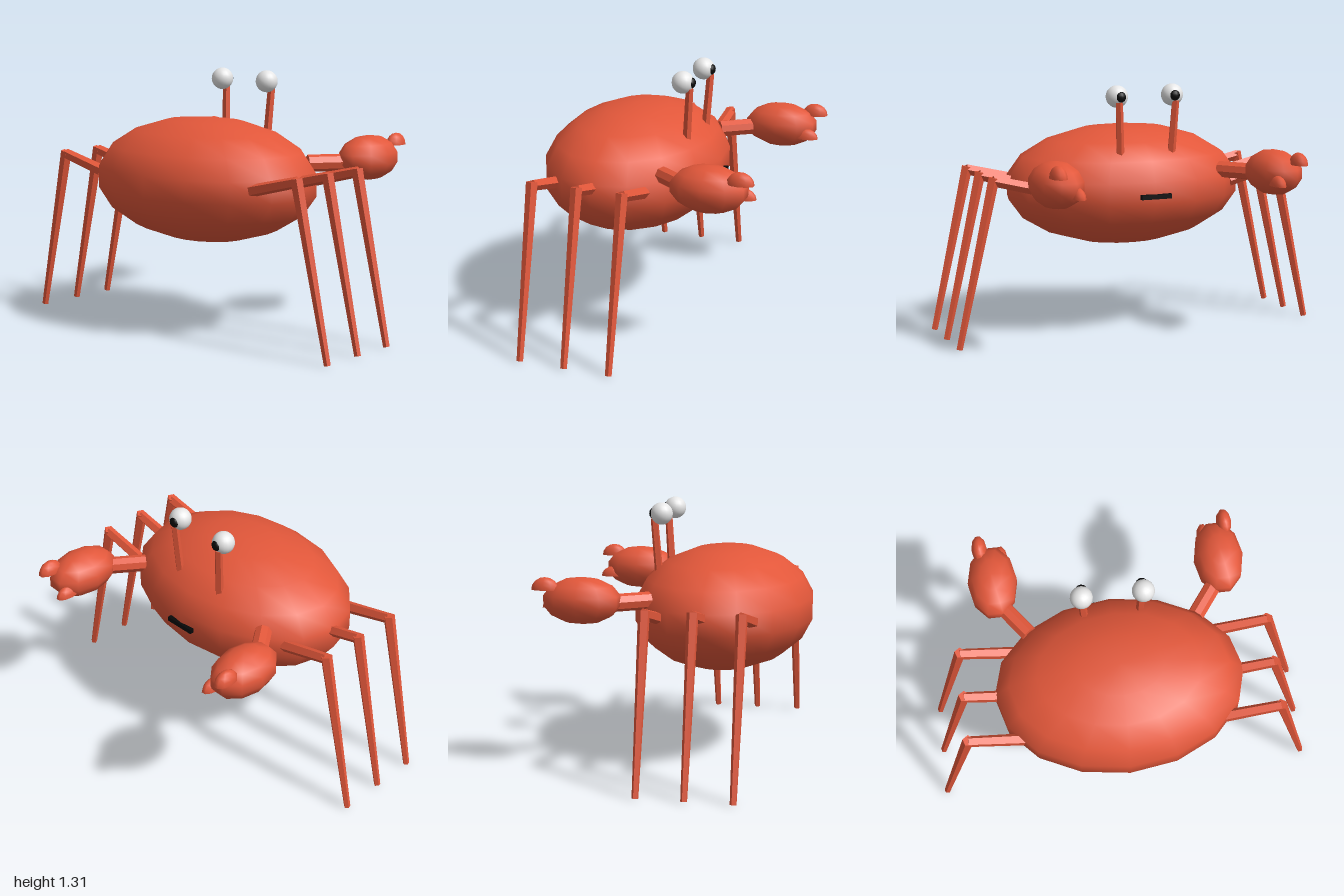
import * as THREE from 'three';

const shell = new THREE.MeshStandardMaterial({ color: 0xe2573a });
shell.name = 'shellRed';
const white = new THREE.MeshStandardMaterial({ color: 0xe6e6e6 });
white.name = 'eyeWhite';
const black = new THREE.MeshStandardMaterial({ color: 0x080808 });
black.name = 'black';

const UP = new THREE.Vector3(0, 1, 0);

function add(parent, name, geometry, material, x = 0, y = 0, z = 0) {
  const mesh = new THREE.Mesh(geometry, material);
  mesh.name = name;
  mesh.position.set(x, y, z);
  parent.add(mesh);
  return mesh;
}

// Sphere stretched to three radii
function ellipsoid(rx, ry, rz, w, h) {
  return new THREE.SphereGeometry(1, w, h).scale(rx, ry, rz);
}

// Faceted tapered rod from a to b
function rod(parent, name, a, b, ra, rb, sides) {
  const from = new THREE.Vector3(...a);
  const to = new THREE.Vector3(...b);
  const dir = to.clone().sub(from);
  const geometry = new THREE.CylinderGeometry(rb, ra, dir.length(), sides, 1, false, Math.PI).toNonIndexed();
  geometry.computeVertexNormals();
  const mesh = add(parent, name, geometry, shell);
  mesh.position.copy(from).add(to).multiplyScalar(0.5);
  mesh.quaternion.setFromUnitVectors(UP, dir.normalize());
  return mesh;
}

// Half-ellipsoid with a flat underside, used for the pincer fingers
function finger(parent, name, rx, ry, rz, x, y, z) {
  const half = new THREE.Group();
  half.name = name;
  half.position.set(x, y, z);
  const dome = new THREE.SphereGeometry(1, 10, 4, 0, Math.PI * 2, 0, Math.PI / 2).scale(rx, ry, rz);
  add(half, name + 'Dome', dome, shell);
  const base = new THREE.CircleGeometry(1, 10).rotateX(Math.PI / 2).scale(rx, 1, rz);
  add(half, name + 'Base', base, shell);
  parent.add(half);
}

export function createModel() {
  const crab = new THREE.Group();
  crab.name = 'crab';

  add(crab, 'body', ellipsoid(0.647, 0.318, 0.462, 16, 9), shell, 0, 0.77, 0.195);
  add(crab, 'mouth', new THREE.BoxGeometry(0.165, 0.024, 0.022), black, 0, 0.756, -0.262);

  for (const s of [1, -1]) {
    const side = s > 0 ? 'left' : 'right';

    // Three jointed legs per side
    for (const z of [-0.04, 0.195, 0.43]) {
      const leg = new THREE.Group();
      leg.name = side + 'Leg';
      rod(leg, 'upperLeg', [s * 0.515, 0.783, z], [s * 0.795, 0.852, z], 0.032, 0.028, 5);
      rod(leg, 'lowerLeg', [s * 0.79, 0.867, z], [s * 0.983, 0.004, z], 0.03, 0.017, 5);
      crab.add(leg);
    }

    // Arm and pincer
    const claw = new THREE.Group();
    claw.name = side + 'Claw';
    rod(claw, 'arm', [s * 0.43, 0.855, -0.105], [s * 0.575, 0.855, -0.3], 0.044, 0.044, 8);
    add(claw, 'palm', ellipsoid(0.13, 0.117, 0.2, 10, 7), shell, s * 0.59, 0.87, -0.405);
    finger(claw, 'upperFinger', 0.04, 0.062, 0.07, s * 0.64, 0.925, -0.577);
    finger(claw, 'lowerFinger', 0.035, 0.055, 0.07, s * 0.535, 0.82, -0.555);
    crab.add(claw);

    // Eye on a stalk
    const eye = new THREE.Group();
    eye.name = side + 'Eye';
    rod(eye, 'eyeStalk', [s * 0.142, 0.95, -0.125], [s * 0.156, 1.23, -0.145], 0.022, 0.02, 5);
    add(eye, 'eyeball', ellipsoid(0.057, 0.057, 0.057, 18, 14), white, s * 0.153, 1.257, -0.108);
    add(eye, 'pupil', ellipsoid(0.028, 0.028, 0.022, 12, 8), black, s * 0.149, 1.257, -0.152);
    crab.add(eye);
  }
  return crab;
}
